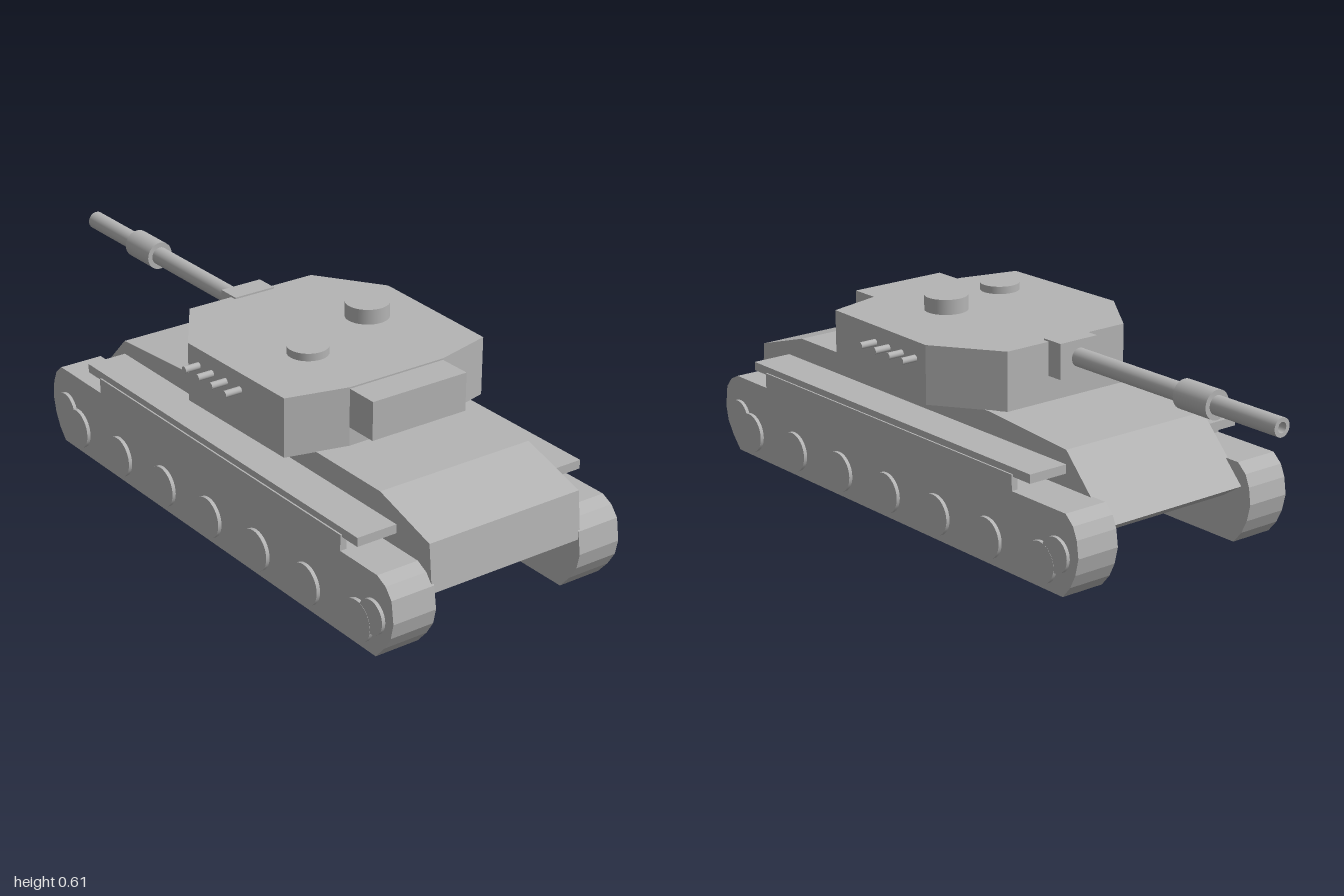
import * as THREE from 'three';

const grey = new THREE.MeshStandardMaterial({ color: 0xb4b4b4 });
grey.name = 'plain grey';

function add(parent, name, geometry, x = 0, y = 0, z = 0) {
  const mesh = new THREE.Mesh(geometry, grey);
  mesh.name = name;
  mesh.position.set(x, y, z);
  parent.add(mesh);
  return mesh;
}

const box = (w, h, d) => new THREE.BoxGeometry(w, h, d);

// Side profile given as [z, y] points, extruded across x and centred
function sideProfile(points, width) {
  const shape = new THREE.Shape(points.map(([z, y]) => new THREE.Vector2(z, y)));
  const geo = new THREE.ExtrudeGeometry(shape, { depth: width, bevelEnabled: false });
  return geo.translate(0, 0, -width / 2).rotateY(-Math.PI / 2);
}

// Plan given as [x, z] points, extruded upwards from y = 0
function plan(points, height) {
  const shape = new THREE.Shape(points.map(([x, z]) => new THREE.Vector2(x, -z)));
  return new THREE.ExtrudeGeometry(shape, { depth: height, bevelEnabled: false }).rotateX(-Math.PI / 2);
}

const discX = (r, w) => new THREE.CylinderGeometry(r, r, w, 32).rotateZ(Math.PI / 2);

export function createModel() {
  const model = new THREE.Group();
  model.name = 'tank';

  // Hull with sloped ends
  add(model, 'hull', sideProfile([
    [0.9, 0.125], [0.99, 0.167], [0.975, 0.305], [0.77, 0.367], [-0.13, 0.367],
    [-0.455, 0.343], [-0.62, 0.17], [-0.55, 0.125],
  ], 0.5));

  // Running gear on both sides
  const trackProfile = [
    [0.93, 0], [0.965, 0.04], [0.99, 0.08], [1, 0.125], [0.99, 0.19], [0.965, 0.22], [0.93, 0.237],
    [-0.605, 0.237], [-0.635, 0.21], [-0.65, 0.175], [-0.657, 0.125], [-0.645, 0.075], [-0.625, 0.035], [-0.595, 0],
  ];
  for (const side of [1, -1]) {
    const gear = new THREE.Group();
    gear.name = side > 0 ? 'leftRunningGear' : 'rightRunningGear';
    model.add(gear);
    add(gear, 'track', sideProfile(trackProfile, 0.137), side * 0.3115);
    add(gear, 'skirt', box(0.02, 0.05, 1.16), side * 0.37, 0.258, 0.195);
    add(gear, 'fender', box(0.13, 0.026, 1.295), side * 0.31, 0.289, 0.1925);
    for (let i = 0; i < 7; i++) {
      add(gear, 'roadWheel', discX(0.06, 0.03), side * 0.376, 0.075, 0.858 - i * 0.228);
    }
    add(gear, 'frontIdler', discX(0.049, 0.03), side * 0.3755, 0.114, 0.918);
    add(gear, 'rearSprocket', discX(0.051, 0.03), side * 0.3755, 0.114, -0.572);
  }

  // Turret
  const turret = new THREE.Group();
  turret.name = 'turret';
  model.add(turret);
  add(turret, 'turretBody', plan([
    [-0.157, 0.515], [0.157, 0.515], [0.335, 0.47], [0.346, 0.03], [0.212, -0.163],
    [-0.212, -0.163], [-0.346, 0.03], [-0.338, 0.47],
  ], 0.173), 0, 0.366, 0);
  add(turret, 'bustle', box(0.314, 0.113, 0.13), 0, 0.478, 0.55);
  add(turret, 'smallHatch', new THREE.CylinderGeometry(0.058, 0.058, 0.022, 40), -0.137, 0.566, 0.3);
  add(turret, 'cupola', new THREE.CylinderGeometry(0.063, 0.063, 0.044, 40), 0.132, 0.585, 0.21);
  for (const side of [1, -1]) {
    for (const z of [0.272, 0.207, 0.143, 0.08]) {
      add(turret, 'sidePeg', discX(0.01, 0.08), side * 0.353, 0.489, z);
    }
  }

  // Gun with mantlet, barrel, sleeve and open muzzle
  add(turret, 'mantlet', box(0.134, 0.104, 0.07), -0.002, 0.492, -0.178);
  const barrel = [[0, -0.2], [0.027, -0.2], [0.027, -1], [0.015, -1], [0.015, -0.975], [0, -0.975]];
  const corners = [];
  // Doubled points keep the profile corners sharp
  for (const [r, z] of barrel) corners.push(new THREE.Vector2(r, -z), new THREE.Vector2(r, -z));
  add(turret, 'barrel', new THREE.LatheGeometry(corners, 32).rotateX(-Math.PI / 2), -0.004, 0.493, 0);
  add(turret, 'barrelSleeve', new THREE.CylinderGeometry(0.042, 0.042, 0.125, 32).rotateX(Math.PI / 2), -0.004, 0.493, -0.7);

  return model;
}
